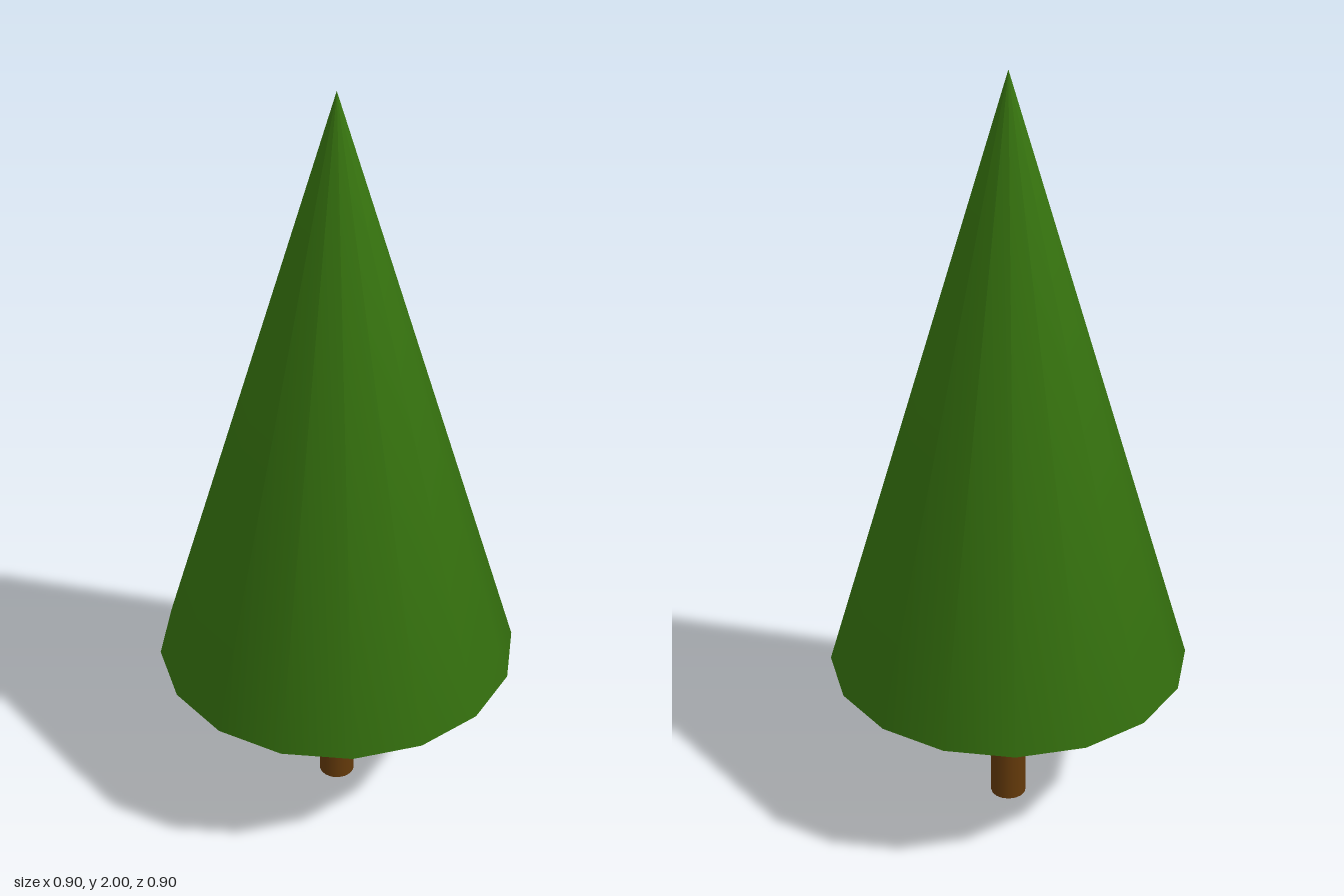
import * as THREE from 'three';

const SIDES = 16;

function addPart(group, name, geometry, color) {
  const mesh = new THREE.Mesh(geometry, new THREE.MeshStandardMaterial({ color }));
  mesh.name = name;
  group.add(mesh);
  return mesh;
}

export function createModel() {
  const tree = new THREE.Group();
  tree.name = 'coniferTree';

  // Foliage: one closed cone, shaded smoothly around its rim
  const profile = [[0, 0.42], [0.45, 0.42], [0, 2]].map(([r, y]) => new THREE.Vector2(r, y));
  addPart(tree, 'foliage', new THREE.LatheGeometry(profile, SIDES), 0x37750f);

  // Trunk: slim cylinder reaching just into the foliage
  const trunk = addPart(tree, 'trunk', new THREE.CylinderGeometry(0.045, 0.045, 0.43, SIDES), 0x63390a);
  trunk.position.y = 0.215;

  return tree;
}
